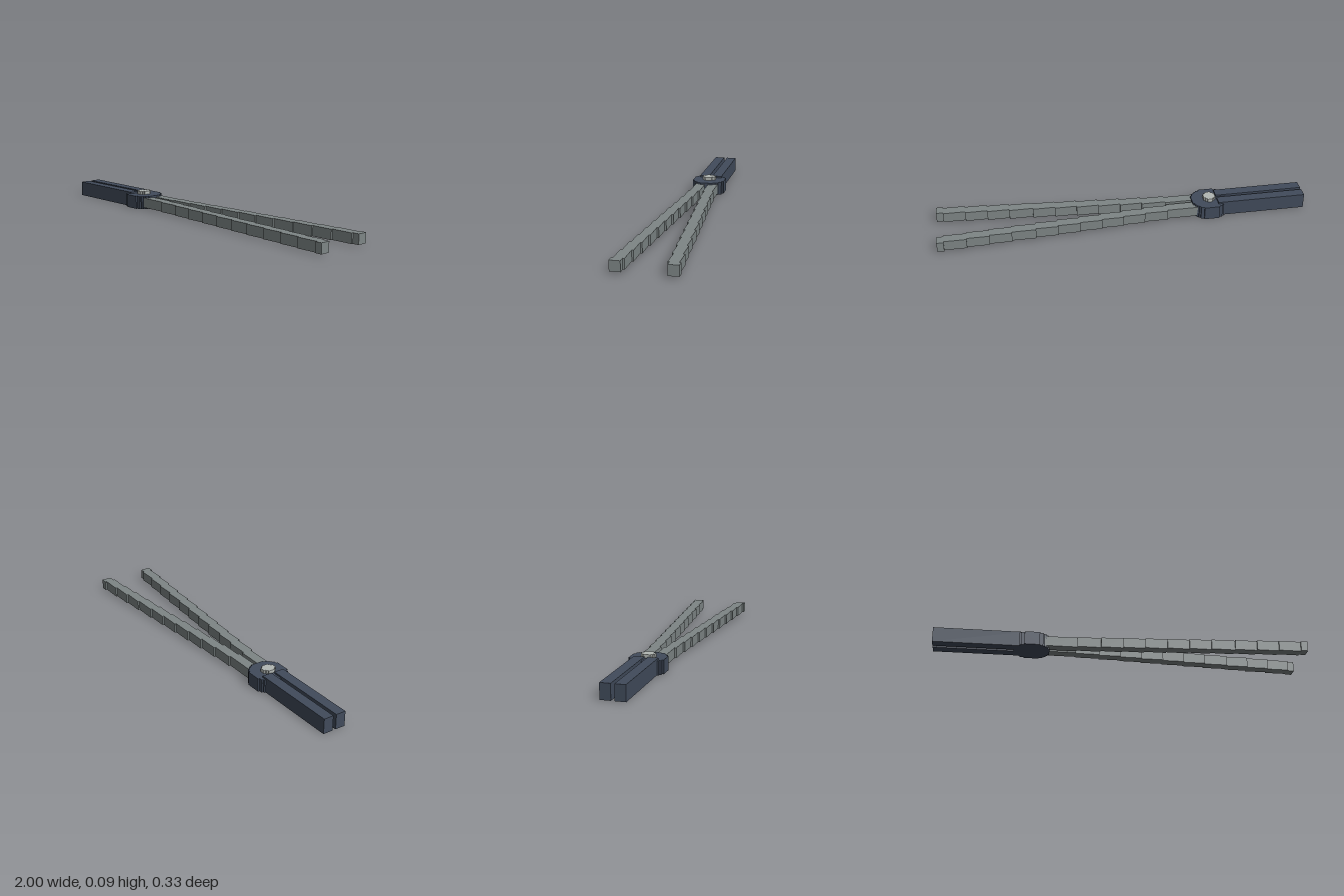
import * as THREE from 'three';

const V = 2 / 220; // grid unit: the model is 220 units long

export function createModel() {
  const mat = (name, color) => {
    const m = new THREE.MeshStandardMaterial({ color });
    m.name = name;
    return m;
  };
  const navy = mat('dark slate', 0x414b5b);
  const steel = mat('grey steel', 0x7e8686);
  const silver = mat('light silver', 0xb2b7b4);

  const model = new THREE.Group();
  model.name = 'tongs';

  // Box from grid limits; x counts from the handle end
  const box = (name, material, [x0, x1], [y0, y1], [z0, z1], parent) => {
    const g = new THREE.BoxGeometry((x1 - x0) * V, (y1 - y0) * V, (z1 - z0) * V);
    const mesh = new THREE.Mesh(g, material);
    mesh.position.set(((x0 + x1) / 2 - 110) * V, ((y0 + y1) / 2) * V, ((z0 + z1) / 2) * V);
    mesh.name = name;
    parent.add(mesh);
  };

  // Stepped disc: half[i] is the half length of the row i units from the middle
  const steppedDisc = (name, material, half, y0, y1) => {
    const quarter = [];
    half.forEach((h, i) => quarter.push([h, i], [h, i + 1]));
    const back = [...quarter].reverse();
    const outline = [
      ...quarter,
      ...back.map(([x, y]) => [-x, y]),
      ...quarter.map(([x, y]) => [-x, -y]),
      ...back.map(([x, y]) => [x, -y]),
    ].filter(([, y]) => y !== 0);
    // drop repeated corners between rows of equal length
    const points = outline.filter((p, i) => {
      const q = outline[(i + 1) % outline.length];
      return p[0] !== q[0] || p[1] !== q[1];
    });
    const shape = new THREE.Shape(points.map(([x, y]) => new THREE.Vector2(x * V, y * V)));
    const g = new THREE.ExtrudeGeometry(shape, { depth: (y1 - y0) * V, bevelEnabled: false });
    g.rotateX(-Math.PI / 2);
    const mesh = new THREE.Mesh(g, material);
    mesh.position.set((57.5 - 110) * V, y0 * V, 0);
    mesh.name = name;
    model.add(mesh);
  };

  // Pivot housing and screw
  steppedDisc('pivotHousing', navy, [10.5, 10.5, 10.5, 10.5, 9.5, 9.5, 8.5, 7.5, 6.5, 4.5], 0, 8);
  steppedDisc('pivotScrew', silver, [3.5, 3.5, 2.5, 1.5], 8, 10);

  // Mirrored handles and stepped, spreading arms
  const steps = 12;
  for (const side of [1, -1]) {
    const word = side > 0 ? 'front' : 'back';
    const span = (a, b) => (side > 0 ? [a, b] : [-b, -a]);
    box(word + 'Handle', navy, [0, 53], [0, 9], span(1, 7), model);

    const arm = new THREE.Group();
    arm.name = word + 'Arm';
    model.add(arm);
    for (let i = 0; i < steps; i++) {
      const x0 = i === 0 ? 62 : Math.round(71.3 + 13.15 * i);
      const x1 = i === steps - 1 ? 220 : Math.round(71.3 + 13.15 * (i + 1));
      box('armSegment', steel, [x0, x1], [1, 7], span(1 + i, 7 + i), arm);
    }
  }
  return model;
}
